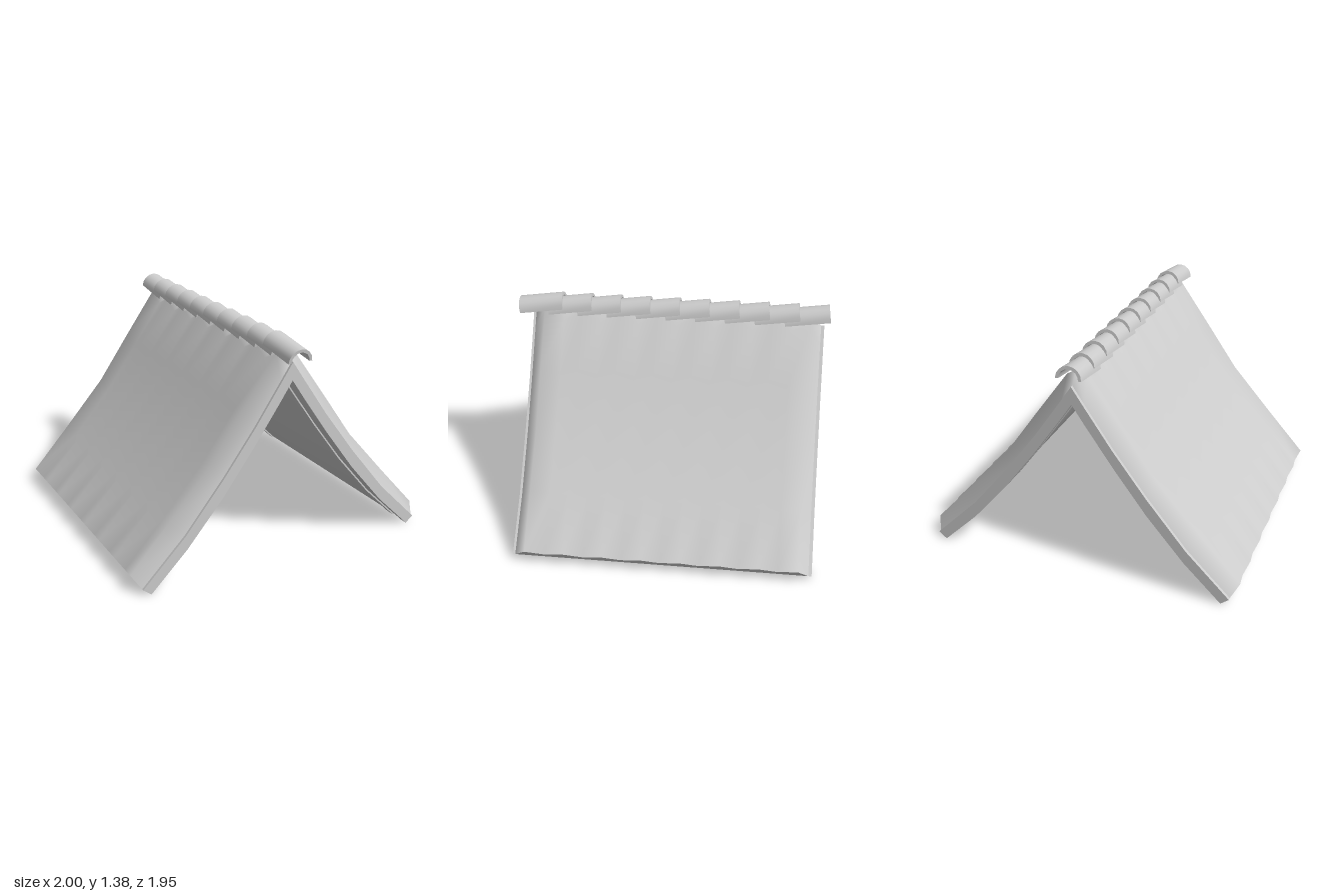
import * as THREE from 'three';
import { toCreasedNormals } from 'three/addons/utils/BufferGeometryUtils.js';

const grey = new THREE.MeshStandardMaterial({ color: 0xcccccc });
grey.name = 'pale grey';

// Half profiles from the ridge down to the eave: [x, y]
const TOP = [[0, 1.31], [0.06, 1.275], [0.27, 0.98], [0.48, 0.68], [0.75, 0.375], [1, 0.1]];
const MID = [[0, 1.24], [0.07, 1.135], [0.24, 0.885], [0.445, 0.61], [0.69, 0.31], [0.96, 0.04]];
const INNER = [[0, 1.13], [0.08, 1.01], [0.25, 0.765], [0.45, 0.495], [0.68, 0.225], [0.91, 0]];

const lerp = (a, b, t) => a.map((p, i) => p.map((v, k) => v + (b[i][k] - v) * t));
// Full profile running from the -x eave over the ridge to the +x eave
const mirror = (half) => [...half.slice(1).reverse().map(([x, y]) => [-x, y]), ...half];

function mesh(name, geometry) {
  const m = new THREE.Mesh(geometry, grey);
  m.name = name;
  return m;
}

// Solid band between two profiles, running from z0 to z1
function band(name, upper, lower, z0, z1) {
  const pts = [...mirror(upper), ...mirror(lower).reverse()].map(([x, y]) => new THREE.Vector2(x, y));
  const geo = new THREE.ExtrudeGeometry(new THREE.Shape(pts), { depth: z1 - z0, bevelEnabled: false });
  geo.translate(0, 0, z0);
  return mesh(name, toCreasedNormals(geo, 0.4));
}

// Rows along z: the covering rises from the slab, then alternates crest and valley
function coveringRows() {
  const rows = [[0.885, 0]];
  const crests = 8, first = 0.815, last = -0.85;
  for (let i = 0; i < crests * 2 - 1; i++) {
    rows.push([first + (last - first) * i / (crests * 2 - 2), i % 2 ? 0.6 : 1]);
  }
  rows.push([-0.917, 0]);
  return rows;
}

function surface(rows, flip) {
  const n = rows[0].length, index = [];
  for (let r = 0; r < rows.length - 1; r++) {
    for (let c = 0; c < n - 1; c++) {
      const a = r * n + c, b = a + 1, d = a + n, e = d + 1;
      if (flip) index.push(a, d, b, b, d, e);
      else index.push(a, b, d, b, e, d);
    }
  }
  const geo = new THREE.BufferGeometry();
  geo.setAttribute('position', new THREE.Float32BufferAttribute(rows.flat(2), 3));
  geo.setIndex(index);
  geo.computeVertexNormals();
  return geo;
}

export function createModel() {
  const model = new THREE.Group();
  model.name = 'gabledRoof';

  // Underside boarding and the rafters standing slightly proud of it
  model.add(band('boarding', MID, lerp(MID, INNER, 0.86), -0.925, 0.89));
  for (const [z0, z1] of [[0.85, 0.9], [0.71, 0.765], [-0.797, -0.745], [-0.937, -0.88]]) {
    model.add(band('rafter', MID, INNER, z0, z1));
  }

  // Corrugated covering
  const rows = coveringRows();
  const grid = rows.map(([z, h]) => mirror(lerp(MID, TOP, h)).map(([x, y]) => [x, y, z]));
  model.add(mesh('corrugatedCovering', surface(grid, false)));

  // Zigzag end faces along both eaves
  for (const s of [-1, 1]) {
    const face = rows.map(([z, h]) => {
      const [x, y] = lerp(MID, TOP, h)[5];
      return [[s * x, y, z], [s * MID[5][0], MID[5][1], z]];
    });
    model.add(mesh(s > 0 ? 'leftEaveFace' : 'rightEaveFace', surface(face, s < 0)));
  }

  // Overlapping arched ridge tiles, each tilted up towards the back
  const arch = new THREE.Shape();
  const ring = (r, i) => [r * Math.cos(Math.PI * i / 8), r * Math.sin(Math.PI * i / 8)];
  arch.moveTo(...ring(0.079, 0));
  for (let i = 1; i <= 8; i++) arch.lineTo(...ring(0.079, i));
  for (let i = 8; i >= 0; i--) arch.lineTo(...ring(0.06, i));
  const tileGeo = toCreasedNormals(
    new THREE.ExtrudeGeometry(arch, { depth: 0.28, bevelEnabled: false }).translate(0, 0, -0.28), 0.6);
  for (let i = 0; i < 10; i++) {
    const tile = mesh('ridgeTile', tileGeo);
    tile.position.set(0, 1.258, 0.972 - i * 0.185);
    tile.rotation.x = 0.145;
    model.add(tile);
  }
  return model;
}
